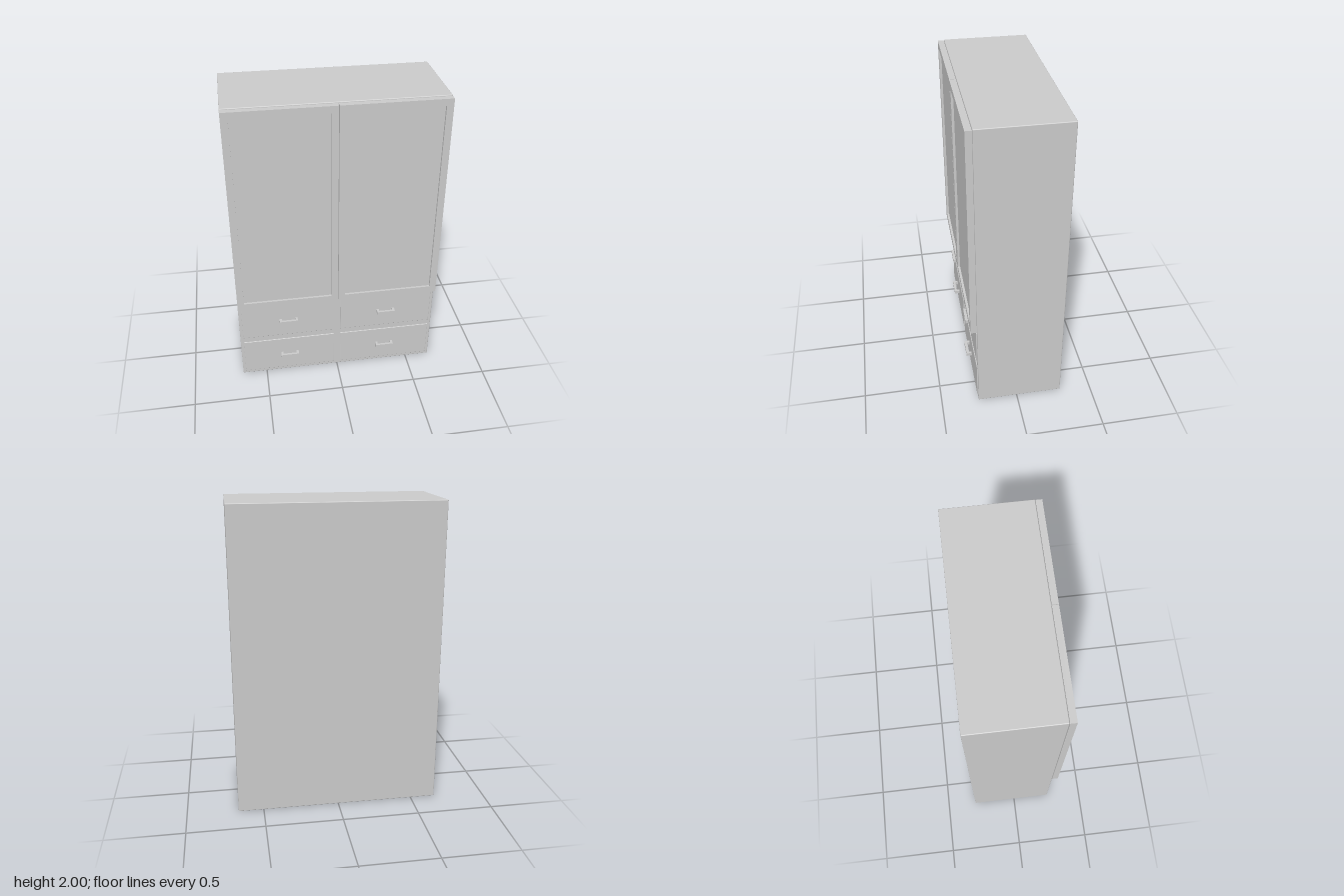
import * as THREE from 'three';
import { RoundedBoxGeometry } from 'three/addons/geometries/RoundedBoxGeometry.js';

const material = new THREE.MeshStandardMaterial({ color: 0xcccccc });

function add(parent, name, geometry, x, y, z) {
  const mesh = new THREE.Mesh(geometry, material);
  mesh.name = name;
  mesh.position.set(x, y, z);
  parent.add(mesh);
  return mesh;
}

// Rectangle path, wound counter-clockwise
function rectangle(path, w, h) {
  path.moveTo(-w / 2, -h / 2);
  path.lineTo(w / 2, -h / 2);
  path.lineTo(w / 2, h / 2);
  path.lineTo(-w / 2, h / 2);
  path.closePath();
  return path;
}

// Door: a raised frame around a recessed flat panel
function createDoor(name) {
  const door = new THREE.Group();
  door.name = name;
  const shape = rectangle(new THREE.Shape(), 0.662, 1.388);
  shape.holes.push(rectangle(new THREE.Path(), 0.576, 1.302));
  const frame = new THREE.ExtrudeGeometry(shape, { depth: 0.039, bevelEnabled: false });
  add(door, 'doorFrame', frame, 0, 0, 0);
  add(door, 'doorPanel', new THREE.BoxGeometry(0.576, 1.302, 0.024), 0, 0, 0.012);
  return door;
}

// Drawer: a thin front with a bridge-shaped pull
function createDrawer(name) {
  const drawer = new THREE.Group();
  drawer.name = name;
  add(drawer, 'drawerFront', new RoundedBoxGeometry(0.624, 0.26, 0.02, 2, 0.003), 0, 0, -0.004);

  const profile = new THREE.Shape();
  [[-0.061, 0], [-0.045, 0], [-0.045, 0.022], [0.045, 0.022], [0.045, 0], [0.061, 0], [0.061, 0.037], [-0.061, 0.037]]
    .forEach(([x, z], i) => (i ? profile.lineTo(x, z) : profile.moveTo(x, z)));
  profile.closePath();
  const pull = new THREE.ExtrudeGeometry(profile, { depth: 0.022, bevelEnabled: false });
  pull.translate(0, 0, -0.011);
  pull.rotateX(Math.PI / 2);
  add(drawer, 'drawerHandle', pull, 0, 0, 0.004);
  return drawer;
}

export function createModel() {
  const wardrobe = new THREE.Group();
  wardrobe.name = 'wardrobe';

  // Cabinet body with softened edges
  add(wardrobe, 'cabinetBody', new RoundedBoxGeometry(1.33, 2, 0.553, 2, 0.005), 0, 1, -0.0205);

  // Doors above, two rows of drawers below
  for (const side of [-1, 1]) {
    const label = side > 0 ? 'left' : 'right';
    const door = createDoor(label + 'Door');
    door.position.set(side * 0.333, 1.3, 0.258);
    wardrobe.add(door);

    [['Lower', 0.155], ['Upper', 0.455]].forEach(([row, y]) => {
      const drawer = createDrawer(label + row + 'Drawer');
      drawer.position.set(side * 0.333, y, 0.256);
      wardrobe.add(drawer);
    });
  }
  return wardrobe;
}
